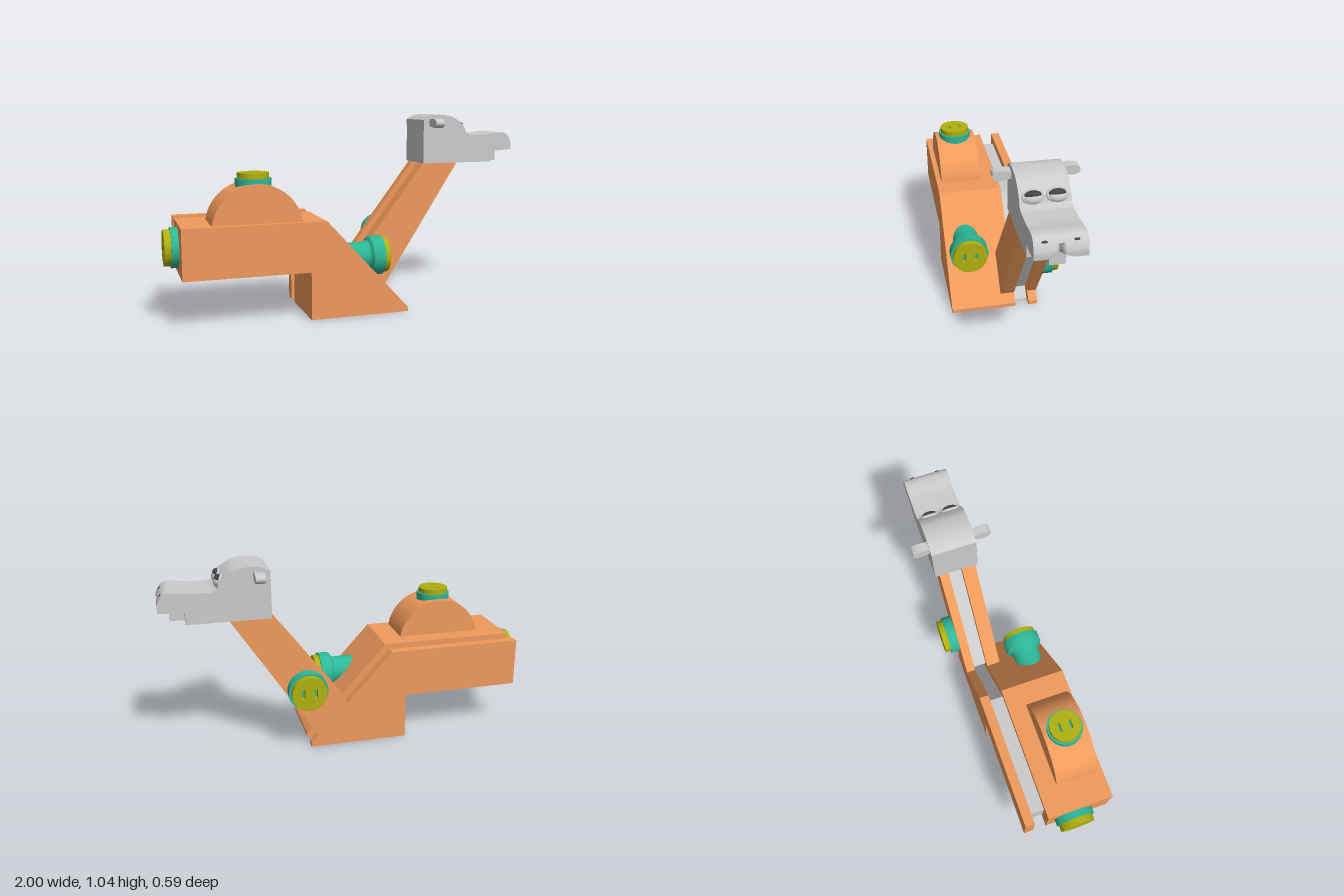
import * as THREE from 'three';
import { toCreasedNormals } from 'three/addons/utils/BufferGeometryUtils.js';

const material = (color) => new THREE.MeshStandardMaterial({ color });
const GREY = material(0xcccccc);
const ORANGE = material(0xf09a5c);
const TEAL = material(0x2db898);
const OLIVE = material(0xb0b010);
const DARK = material(0x444444);

function add(parent, name, geometry, mat, x = 0, y = 0, z = 0) {
  const mesh = new THREE.Mesh(geometry, mat);
  mesh.name = name;
  mesh.position.set(x, y, z);
  parent.add(mesh);
  return mesh;
}

const outline = (points) => new THREE.Shape(points.map(([x, y]) => new THREE.Vector2(x, y)));

// A side profile extruded between two z positions
function slab(parent, name, shape, z0, z1, mat) {
  const geometry = new THREE.ExtrudeGeometry(shape, { depth: z1 - z0, bevelEnabled: false, curveSegments: 24 });
  return add(parent, name, toCreasedNormals(geometry, 0.5), mat, 0, 0, z0);
}

// Round plug facing local +z: lathed flange, slotted cap
function plug(parent, name, profile, capRadius, capDepth) {
  const group = new THREE.Group();
  group.name = name;
  const end = profile[profile.length - 1][1];
  const points = [[0, profile[0][1]], ...profile, [0, end]].map(([r, h]) => new THREE.Vector2(r, h));
  const flange = new THREE.LatheGeometry(points, 40);
  flange.rotateX(Math.PI / 2);
  add(group, name + 'Flange', toCreasedNormals(flange, 0.5), TEAL);

  const face = new THREE.Shape().absarc(0, 0, capRadius, 0, Math.PI * 2, false);
  const h = capRadius * 0.29, w = capRadius * 0.09;
  for (const side of [-1, 1]) {
    const cx = side * capRadius * 0.36;
    face.holes.push(new THREE.Path([[-w, -h], [-w, h], [w, h], [w, -h]].map(([x, y]) => new THREE.Vector2(cx + x, y))));
  }
  const cap = new THREE.ExtrudeGeometry(face, { depth: capDepth, bevelEnabled: false, curveSegments: 40 });
  add(group, name + 'Cap', toCreasedNormals(cap, 0.5), OLIVE, 0, 0, end);
  parent.add(group);
  return group;
}

function buildHead() {
  const head = new THREE.Group();
  head.name = 'head';
  const half = 0.12;

  // Skull and snout profile
  const s = new THREE.Shape();
  s.moveTo(0.445, 0.765);
  s.lineTo(0.87, 0.765);
  s.lineTo(0.87, 0.825);
  s.lineTo(0.94, 0.83);
  s.lineTo(1.0, 0.835);
  s.splineThru([[1.0, 0.87], [0.985, 0.905], [0.96, 0.928], [0.92, 0.932], [0.85, 0.922], [0.735, 0.92]]
    .map(([x, y]) => new THREE.Vector2(x, y)));
  s.lineTo(0.71, 0.935);
  s.splineThru([[0.69, 0.975], [0.64, 1.015], [0.59, 1.032], [0.53, 1.037], [0.48, 1.028], [0.445, 1.008]]
    .map(([x, y]) => new THREE.Vector2(x, y)));
  s.closePath();
  const skull = new THREE.ExtrudeGeometry(s, { depth: half * 2, steps: 40, bevelEnabled: false, curveSegments: 4 });
  skull.translate(0, 0, -half);

  // Cleft and lifted lip at the middle of the snout
  const p = skull.attributes.position;
  for (let i = 0; i < p.count; i++) {
    const x = p.getX(i), y = p.getY(i), z = Math.abs(p.getZ(i));
    if (x > 0.95 && y < 0.9) {
      p.setX(i, x - 0.035 * Math.max(0, 1 - z / 0.014));
      if (y < 0.86) p.setY(i, y + 0.022 * Math.max(0, 1 - z / 0.06));
    }
  }
  add(head, 'skull', toCreasedNormals(skull, 0.6), GREY);
  add(head, 'lowerJaw', new THREE.BoxGeometry(0.085, 0.07, 0.075), GREY, 0.9025, 0.8, 0);

  // Ear outline in z and y
  const earShape = new THREE.Shape();
  earShape.moveTo(-0.01, 0.975);
  earShape.splineThru([[0.02, 0.97], [0.055, 0.965], [0.08, 0.973], [0.09, 0.99], [0.08, 1.007],
    [0.05, 1.015], [0.02, 1.013], [-0.01, 1.007]].map(([x, y]) => new THREE.Vector2(x, y)));
  earShape.closePath();

  for (const side of [-1, 1]) {
    const ear = new THREE.ExtrudeGeometry(earShape, { depth: 0.05, bevelEnabled: false, curveSegments: 3 });
    ear.rotateY(-Math.PI / 2);
    const earMesh = add(head, 'ear', toCreasedNormals(ear, 0.7), GREY, 0.53, 0, side * half);
    if (side < 0) earMesh.scale.z = -1;

    // Eye: almond rim, ball and dark gap below the upper lid
    const eye = new THREE.Group();
    eye.name = 'eye';
    eye.position.set(0.697, 0.966, side * 0.056);
    eye.rotation.z = 0.5;
    const rim = add(eye, 'eyeRim', new THREE.TorusGeometry(0.045, 0.007, 8, 32), GREY);
    rim.rotation.y = Math.PI / 2;
    rim.scale.y = 0.68;
    const ball = add(eye, 'eyeball', new THREE.SphereGeometry(1, 24, 14), GREY, 0, -0.006, 0);
    ball.scale.set(0.02, 0.027, 0.043);
    const gap = add(eye, 'pupil', new THREE.SphereGeometry(1, 24, 14), DARK, 0.003, 0.009, 0);
    gap.scale.set(0.019, 0.018, 0.04);
    head.add(eye);

    // Nostril
    const nostril = add(head, 'nostril', new THREE.SphereGeometry(1, 16, 8), DARK, 0.978, 0.91, side * 0.07);
    nostril.scale.set(0.008, 0.006, 0.015);
  }
  head.position.z = -0.085;
  return head;
}

export function createModel() {
  const model = new THREE.Group();
  model.name = 'camel';

  // Body halves either side of a sunken core
  const body = outline([[-0.93, 0.25], [-0.285, 0.25], [-0.285, 0], [0.25, 0], [0.25, 0.02], [-0.2, 0.51], [-0.93, 0.51]]);
  slab(model, 'bodyFront', body, -0.055, 0.3, ORANGE);
  slab(model, 'bodyBack', body, -0.18, -0.13, ORANGE);
  const bodyCore = outline([[-0.87, 0.285], [-0.235, 0.285], [-0.235, 0.005], [0.2, 0.005], [-0.22, 0.465], [-0.87, 0.465]]);
  slab(model, 'bodyCore', bodyCore, -0.13, -0.055, GREY);

  // Leaning neck with the same construction
  const neck = outline([[0.21, 0.065], [0.66, 0.766], [0.45, 0.766], [0.05, 0.24]]);
  slab(model, 'neckFront', neck, -0.055, 0.022, ORANGE);
  slab(model, 'neckBack', neck, -0.18, -0.13, ORANGE);
  const neckCore = outline([[0.14, 0.04], [0.61, 0.775], [0.505, 0.775], [0.08, 0.21]]);
  slab(model, 'neckCore', neckCore, -0.13, -0.055, GREY);

  // Hump: a circle segment sitting on the back
  const hump = new THREE.Shape().absarc(-0.55, 0.475, 0.232, 0.14, Math.PI - 0.14, false);
  hump.closePath();
  slab(model, 'hump', hump, 0.045, 0.272, ORANGE);

  // Plugs on hump, rear, neck and chest
  const top = plug(model, 'humpPlug', [[0.092, 0], [0.092, 0.055]], 0.081, 0.028);
  top.position.set(-0.55, 0.675, 0.16);
  top.rotation.set(-Math.PI / 2, 0, Math.PI / 2);

  const rear = plug(model, 'rearPlug', [[0.104, -0.01], [0.104, 0.036]], 0.093, 0.034);
  rear.position.set(-0.93, 0.383, 0.092);
  rear.rotation.y = -Math.PI / 2;

  const side = plug(model, 'neckPlug', [[0.105, -0.01], [0.105, 0.05]], 0.093, 0.032);
  side.position.set(0.27, 0.35, -0.18);
  side.rotation.y = Math.PI;

  const chest = plug(model, 'chestPlug',
    [[0.075, -0.08], [0.075, 0.04], [0.082, 0.055], [0.1, 0.065], [0.105, 0.075], [0.105, 0.13]], 0.094, 0.03);
  chest.position.set(0, 0.293, 0.18);
  chest.rotation.y = Math.PI / 2;

  model.add(buildHead());
  return model;
}
